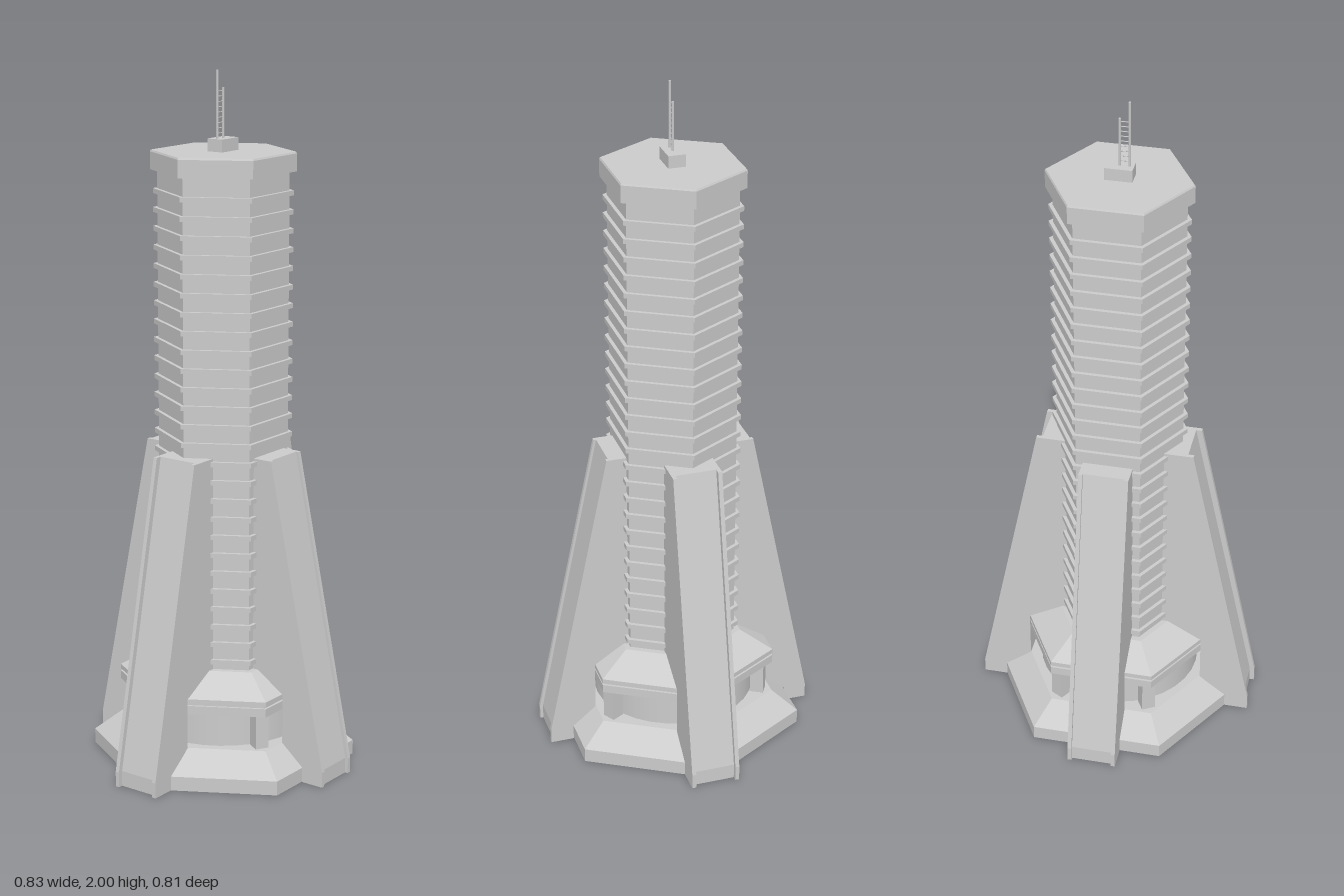
import * as THREE from 'three';

const material = new THREE.MeshStandardMaterial({ color: 0xcccccc, flatShading: true });
const smooth = new THREE.MeshStandardMaterial({ color: 0xcccccc });

export function createModel() {
  const model = new THREE.Group();

  function add(name, geometry, parent = model, mat = material) {
    const mesh = new THREE.Mesh(geometry, mat);
    mesh.name = name;
    parent.add(mesh);
    return mesh;
  }

  // Six-sided prism or frustum with corners on the x axis
  function hex(name, bottomRadius, topRadius, y0, y1) {
    const g = new THREE.CylinderGeometry(topRadius, bottomRadius, y1 - y0, 6);
    g.rotateY(Math.PI / 6 * 3);
    g.translate(0, (y0 + y1) / 2, 0);
    return add(name, g);
  }

  // Stepped base
  hex('plinth', 0.385, 0.385, 0, 0.042);
  hex('plinthSlope', 0.385, 0.305, 0.042, 0.103);
  const drum = new THREE.CylinderGeometry(0.24, 0.24, 0.11, 32);
  drum.translate(0, 0.155, 0);
  add('lobbyDrum', drum, model, smooth);
  hex('lobbyEave', 0.305, 0.305, 0.205, 0.23);
  hex('lobbyEaveGap', 0.297, 0.297, 0.23, 0.236);
  hex('lobbyRoofEdge', 0.305, 0.305, 0.236, 0.25);
  hex('lobbyRoof', 0.305, 0.205, 0.25, 0.306);

  // Posts under the free corners of the eave
  for (const degrees of [60, 120, 240, 300]) {
    const a = THREE.MathUtils.degToRad(degrees);
    const post = add('lobbyPost', new THREE.BoxGeometry(0.04, 0.104, 0.04));
    post.position.set(0.262 * Math.cos(a), 0.154, 0.262 * Math.sin(a));
    post.rotation.y = -a;
  }

  // Shaft with a thin ledge on every floor
  hex('shaft', 0.186, 0.186, 0.3, 1.725);
  for (let i = 0; i < 26; i++) {
    const y = 0.323 + i * 0.0532;
    hex('floorLedge', 0.198, 0.198, y, y + 0.014);
  }
  hex('crown', 0.206, 0.206, 1.72, 1.77);
  hex('crownEdge', 0.206, 0.203, 1.77, 1.775);

  // Buttresses: side plates standing proud of a recessed filling
  function slab(inner, foot, top, depth, z) {
    const outline = new THREE.Shape([
      [0.335, 0], [foot, 0], [foot, 0.045], [top, 0.93], [inner, 0.93],
      [inner, 0.3], [0.265, 0.25], [0.265, 0.103], [0.335, 0.045],
    ].map(([x, y]) => new THREE.Vector2(x, y)));
    const g = new THREE.ExtrudeGeometry(outline, { depth, bevelEnabled: false });
    g.translate(0, 0, z);
    return g;
  }
  for (let i = 0; i < 4; i++) {
    const buttress = new THREE.Group();
    buttress.name = 'buttress';
    buttress.rotation.y = i * Math.PI / 2;
    const shift = i % 2 ? 0.01 : 0;
    const inner = i % 2 ? 0.15 : 0.14;
    add('buttressPlate', slab(inner, 0.414 - shift, 0.23 - shift, 0.012, 0.06), buttress);
    add('buttressPlate', slab(inner, 0.414 - shift, 0.23 - shift, 0.012, -0.072), buttress);
    add('buttressFilling', slab(inner, 0.4 - shift / 2, 0.213, 0.12, -0.06), buttress);
    model.add(buttress);
  }

  // Roof box with a ladder mast
  const box = new THREE.BoxGeometry(0.077, 0.037, 0.05);
  box.translate(-0.001, 1.792, 0);
  add('roofBox', box);
  for (const [x, top] of [[-0.027, 2], [0, 1.95]]) {
    const pole = new THREE.CylinderGeometry(0.0035, 0.0035, top - 1.8, 8);
    pole.translate(x, (top + 1.8) / 2, 0);
    add('mastPole', pole, model, smooth);
  }
  for (let i = 0; i < 9; i++) {
    const rung = new THREE.CylinderGeometry(0.0015, 0.0015, 0.027, 6);
    rung.rotateZ(Math.PI / 2);
    rung.translate(-0.0135, 1.825 + i * 0.0145, 0);
    add('mastRung', rung, model, smooth);
  }

  return model;
}
